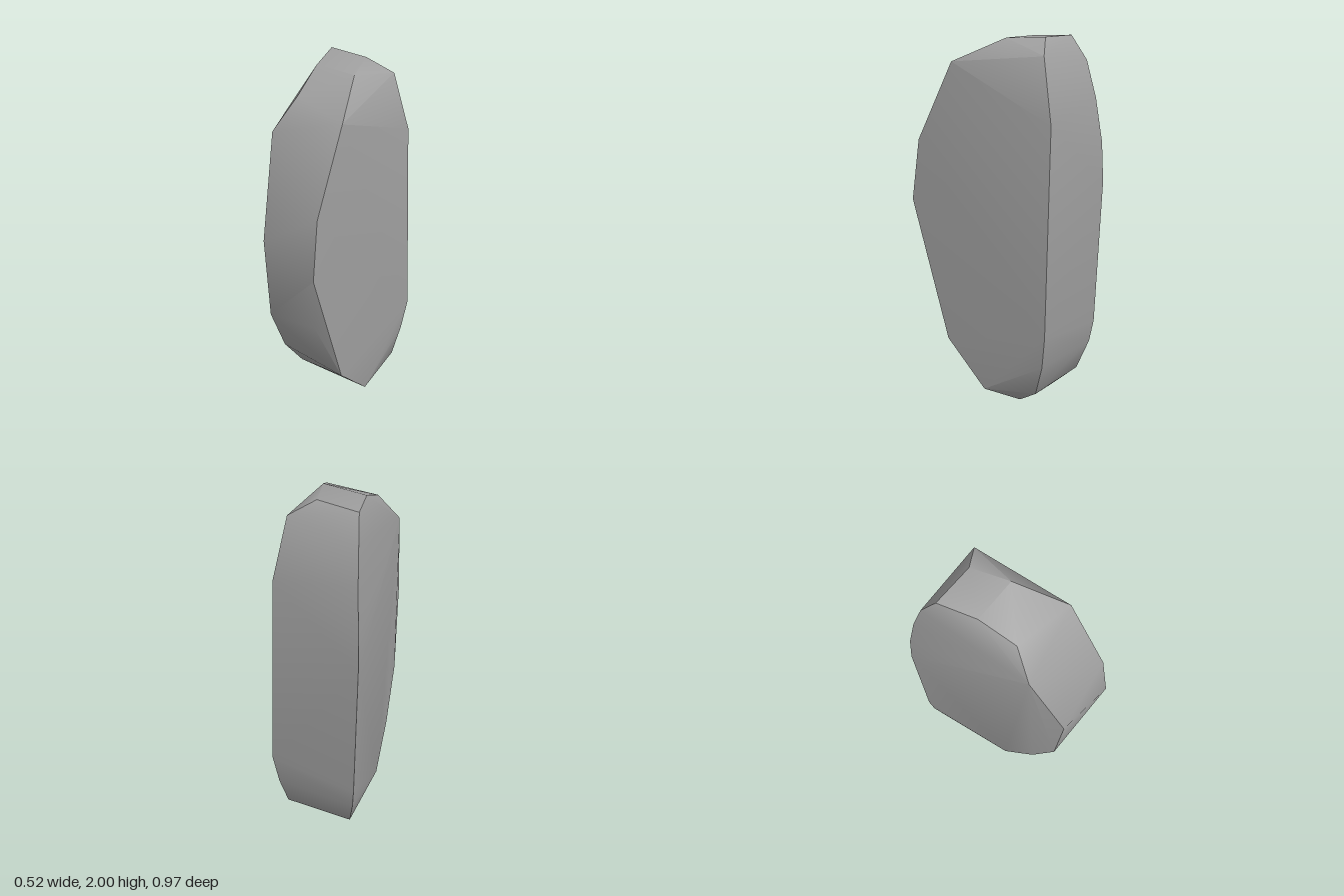
import * as THREE from 'three';
import { ConvexGeometry } from 'three/addons/geometries/ConvexGeometry.js';
import { toCreasedNormals } from 'three/addons/utils/BufferGeometryUtils.js';

// Outline of the broad left face
const leftFace = [
  [0.13, 1.08, 0.485], [0.13, 1.42, 0.44], [0.15, 1.86, 0.22], [0.16, 1.92, -0.32],
  [0.22, 1.58, -0.39], [0.26, 0.45, -0.385], [0.235, 0.27, -0.36], [0.205, 0.1, -0.31],
  [0.19, 0.06, 0.01], [0.165, 0.31, 0.25],
];

// Outline of the broad right face
const rightFace = [
  [-0.21, 1.18, 0.41], [-0.255, 1.72, 0.22], [-0.205, 1.99, -0.31], [-0.23, 1.86, -0.39],
  [-0.245, 1.66, -0.44], [-0.26, 1.42, -0.475], [-0.265, 1.2, -0.485], [-0.237, 0.4, -0.46],
  [-0.225, 0.28, -0.44], [-0.19, 0.12, -0.38], [-0.12, 0.03, -0.27],
  [-0.21, 0.14, 0.05], [-0.21, 0.38, 0.235], [-0.21, 0.68, 0.37],
];

// Crown, front bulge and foot between the two faces
const rim = [
  [-0.17, 1.89, 0.105], [-0.175, 1.98, -0.1], [0.065, 1.99, -0.06], [0.025, 2, -0.265],
  [0.09, 0.72, 0.41], [0.11, 0, -0.17], [0, 0.012, -0.2],
];

export function createModel() {
  const stone = new THREE.MeshStandardMaterial({ color: 0xa0a0a0 });
  stone.name = 'stone grey';

  const points = [...leftFace, ...rightFace, ...rim].map((p) => new THREE.Vector3(...p));
  // Soft rim, sharp edges around the broad faces
  const geometry = toCreasedNormals(new ConvexGeometry(points), THREE.MathUtils.degToRad(38));
  const rock = new THREE.Mesh(geometry, stone);
  rock.name = 'rock';

  const group = new THREE.Group();
  group.name = 'standingStone';
  group.add(rock);
  return group;
}
